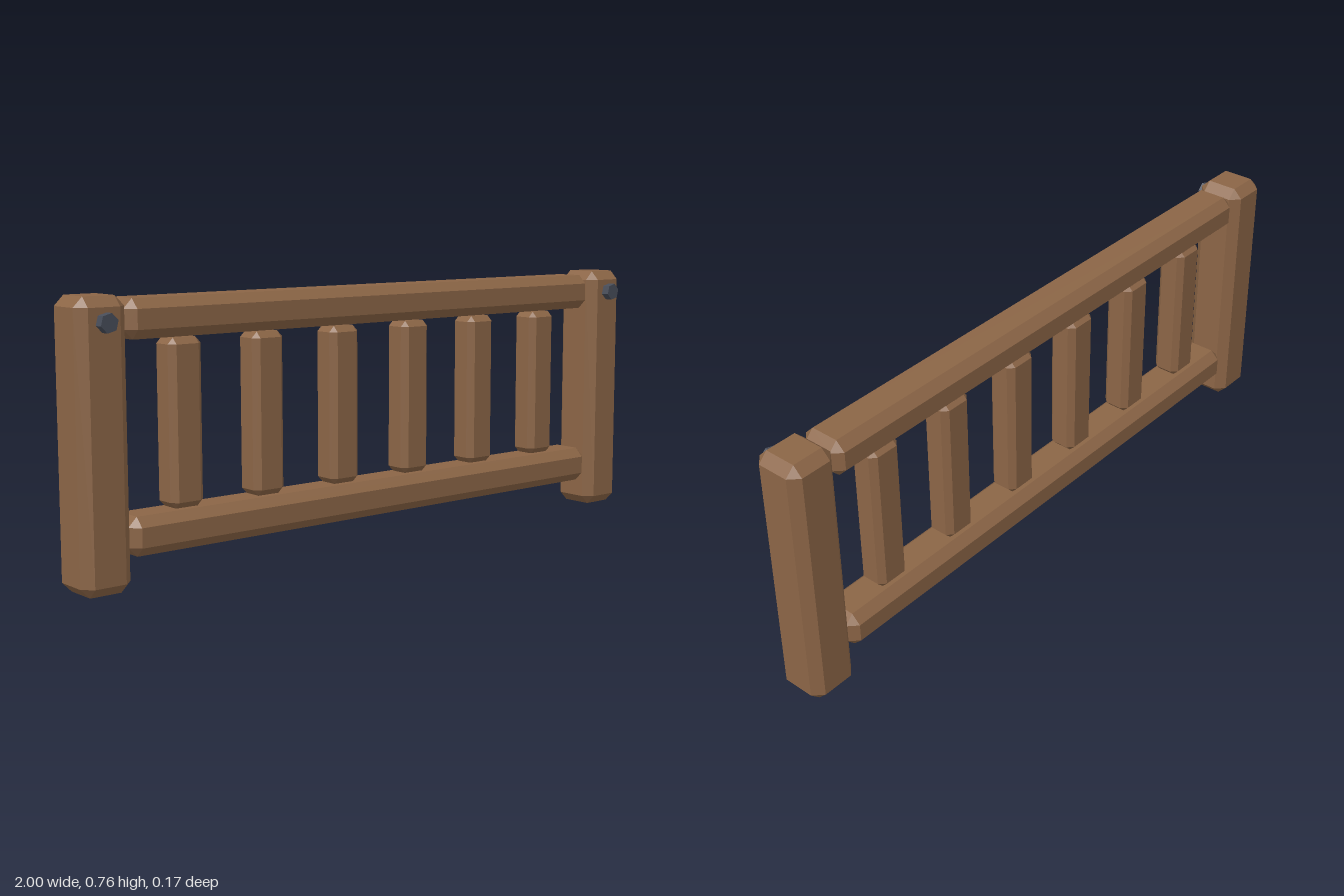
import * as THREE from 'three';
import { ConvexGeometry } from 'three/addons/geometries/ConvexGeometry.js';

// Box with flat 45-degree chamfers on all edges and corners
function chamferBox(w, h, d, c) {
  const half = [w / 2, h / 2, d / 2];
  const points = [];
  for (const sx of [-1, 1]) for (const sy of [-1, 1]) for (const sz of [-1, 1]) {
    for (let full = 0; full < 3; full++) {
      const p = half.map((v, i) => (i === full ? v : v - c));
      points.push(new THREE.Vector3(p[0] * sx, p[1] * sy, p[2] * sz));
    }
  }
  return new ConvexGeometry(points);
}

export function createModel() {
  const model = new THREE.Group();
  model.name = 'woodenFence';

  const wood = new THREE.MeshStandardMaterial({ color: 0x8b6546, flatShading: true });
  wood.name = 'brown wood';
  const iron = new THREE.MeshStandardMaterial({ color: 0x474c58, flatShading: true });
  iron.name = 'dark iron';

  const add = (name, geometry, material, x, y, z) => {
    const mesh = new THREE.Mesh(geometry, material);
    mesh.name = name;
    mesh.position.set(x, y, z);
    model.add(mesh);
  };

  const woodZ = -0.0115;

  // End posts, each with a hexagonal bolt head on the front
  const post = chamferBox(0.145, 0.76, 0.147, 0.027);
  const bolt = new THREE.CylinderGeometry(0.026, 0.026, 0.047, 6, 1, false, Math.PI / 4);
  bolt.rotateX(Math.PI / 2);
  for (const [side, s] of [['left', 1], ['right', -1]]) {
    add(side + 'Post', post, wood, s * 0.9275, 0.38, woodZ);
    add(side + 'Bolt', bolt, iron, s * 0.9275, 0.695, 0.0635);
  }

  // Horizontal rails
  const rail = chamferBox(1.71, 0.105, 0.134, 0.026);
  add('topRail', rail, wood, 0, 0.697, woodZ);
  add('bottomRail', rail, wood, 0, 0.137, woodZ);

  // Balusters between the rails
  const baluster = chamferBox(0.102, 0.45, 0.087, 0.017);
  for (let i = 0; i < 6; i++) {
    add('baluster' + (i + 1), baluster, wood, (i - 2.5) * 0.2665, 0.416, woodZ);
  }

  return model;
}
